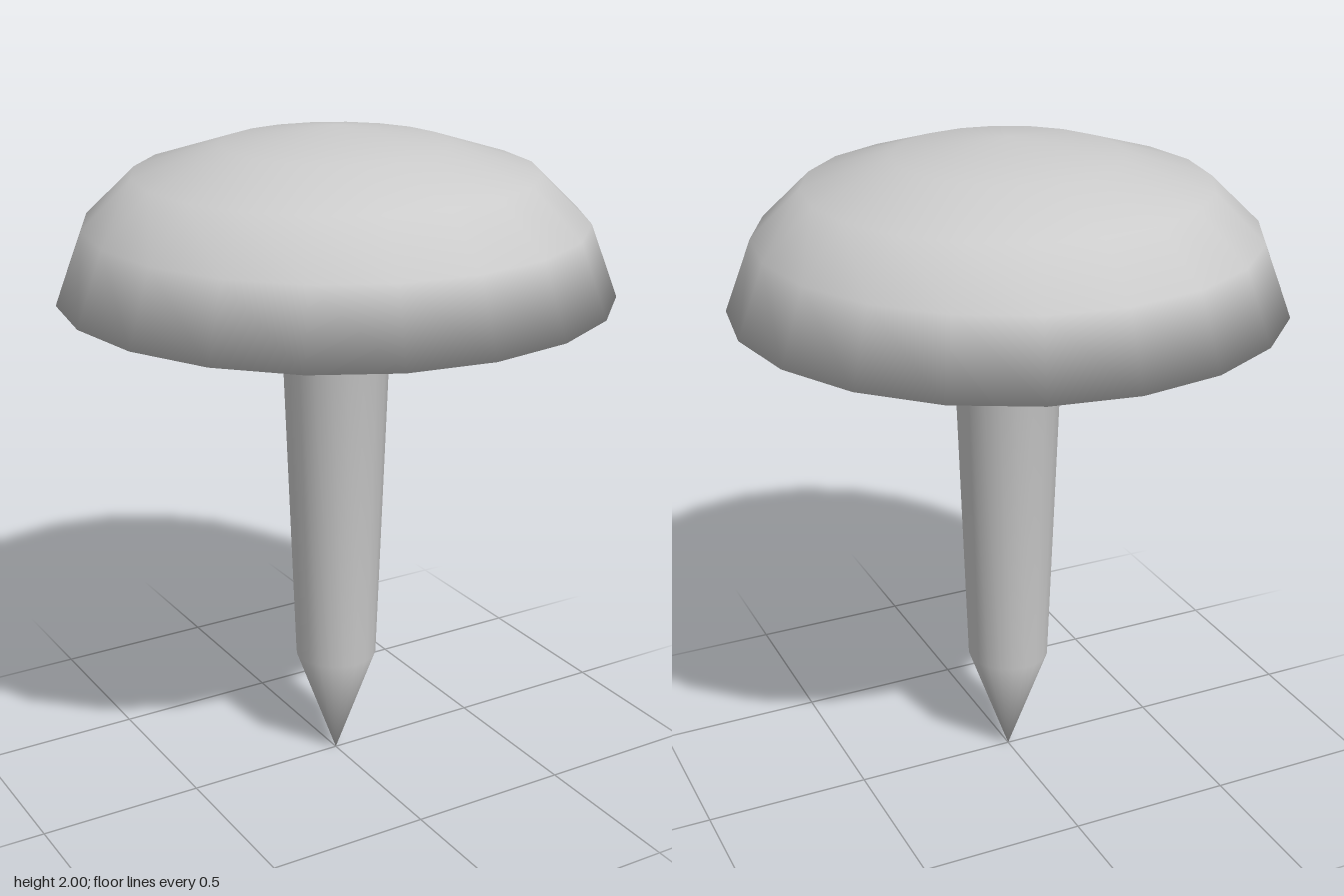
import * as THREE from 'three';
import { mergeVertices } from 'three/addons/utils/BufferGeometryUtils.js';

// Radius and height, from the point up to the crown
const PROFILE = [
  [0, 0], [0.125, 0.35], [0.163, 1.45],              // point and tapered shank
  [0.29, 1.54],                                      // flare into the hollowed underside
  [0.81, 1.52],                                      // rim
  [0.73, 1.73], [0.585, 1.87], [0.33, 1.95], [0, 2], // domed cap
];

export function createModel() {
  const group = new THREE.Group();
  group.name = 'tack';

  const lathe = new THREE.LatheGeometry(PROFILE.map(([r, y]) => new THREE.Vector2(r, y)), 20);

  // Weld the seam and both poles so the whole surface shades smoothly
  lathe.deleteAttribute('uv');
  lathe.deleteAttribute('normal');
  const geometry = mergeVertices(lathe, 1e-4);
  geometry.computeVertexNormals();

  const body = new THREE.Mesh(geometry, new THREE.MeshStandardMaterial({ color: 0xcccccc }));
  body.name = 'headAndShank';
  group.add(body);
  return group;
}
